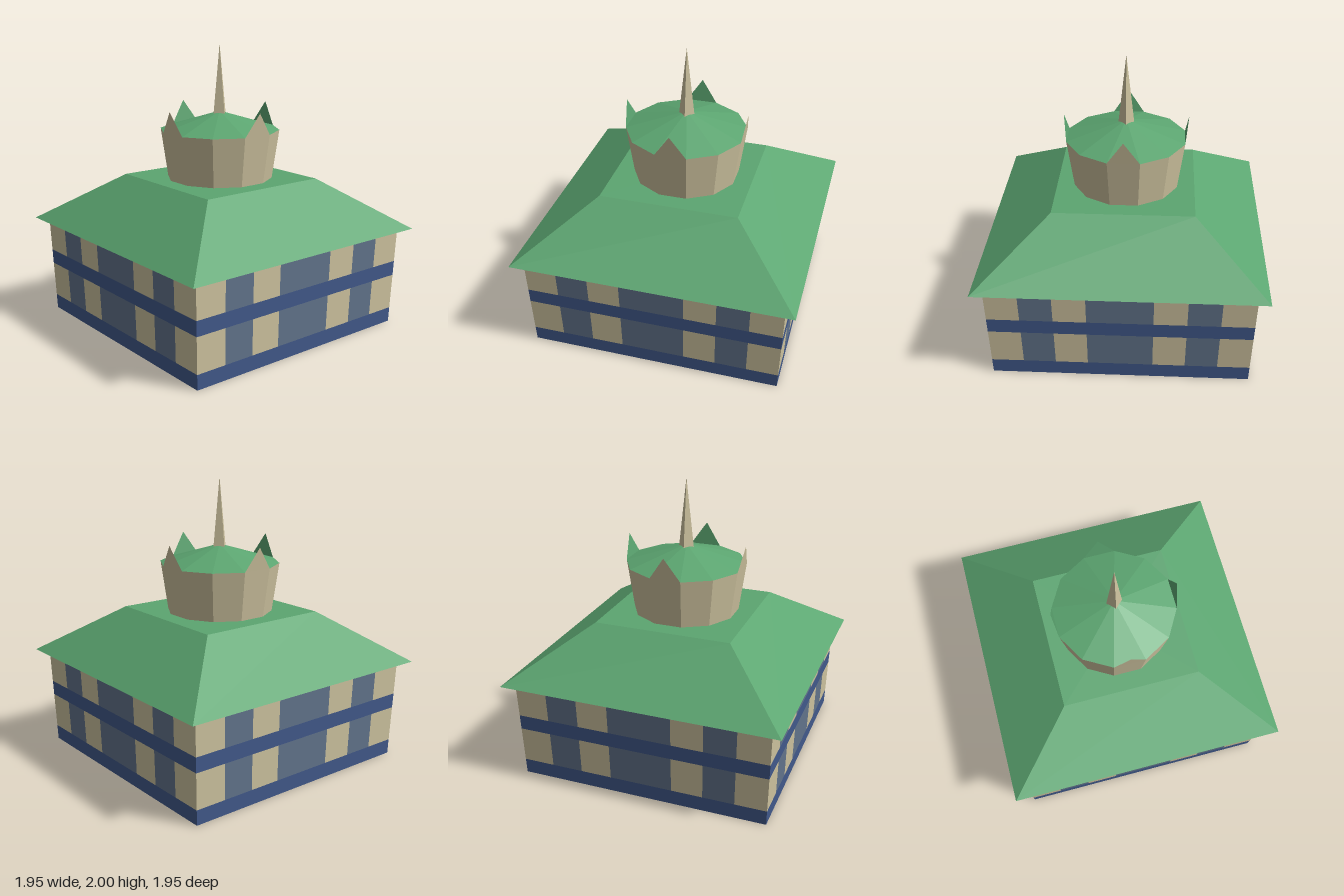
import * as THREE from 'three';

const paint = (color) => new THREE.MeshStandardMaterial({ color, flatShading: true });

export function createModel() {
  const model = new THREE.Group();
  const tan = paint(0xcfc4a0), green = paint(0x5ca671), blue = paint(0x425a8c), glass = paint(0x63758d);

  const add = (parent, name, geometry, material, y = 0) => {
    const mesh = new THREE.Mesh(geometry, material);
    mesh.name = name;
    mesh.position.y = y;
    parent.add(mesh);
    return mesh;
  };

  // Square frustum given by its half widths and heights
  const frustum = (name, bottom, top, y0, y1, material, open = false) => {
    const g = new THREE.CylinderGeometry(top * Math.SQRT2, bottom * Math.SQRT2, y1 - y0, 4, 1, open);
    return add(model, name, g.rotateY(Math.PI / 4), material, (y0 + y1) / 2);
  };

  // Flat convex polygon, corners counter-clockwise from outside
  const polygon = (points) => {
    const positions = [];
    for (let i = 1; i < points.length - 1; i++) positions.push(...points[0], ...points[i], ...points[i + 1]);
    const g = new THREE.BufferGeometry();
    g.setAttribute('position', new THREE.Float32BufferAttribute(positions, 3));
    g.computeVertexNormals();
    return g;
  };

  // Walls lean outward slightly towards the eaves
  const wall = (y) => 0.877 + 0.034 * y;
  frustum('plinth', wall(0), wall(0.105), 0, 0.105, blue);
  frustum('middleBand', wall(0.355), wall(0.46), 0.355, 0.46, blue, true);

  // Alternating wall and window strips on both storeys of each side
  const edges = [-1, -0.75, -0.5, -0.25, 0.25, 0.5, 0.75, 1];
  const storeys = [[0.105, 0.355], [0.46, 0.705]];
  for (let side = 0; side < 4; side++) {
    const face = new THREE.Group();
    face.name = 'wallSide';
    face.rotation.y = side * Math.PI / 2;
    for (const [y0, y1] of storeys) {
      const a = wall(y0), b = wall(y1);
      for (let i = 0; i < edges.length - 1; i++) {
        const l = edges[i], r = edges[i + 1];
        const strip = polygon([[l * a, y0, a], [r * a, y0, a], [r * b, y1, b], [l * b, y1, b]]);
        add(face, i % 2 ? 'window' : 'wallPanel', strip, i % 2 ? glass : tan);
      }
    }
    model.add(face);
  }

  // Hipped roof with a flat top
  frustum('roof', 0.975, 0.485, 0.705, 1.055, green);

  // Twelve-sided flaring tower and its shallow roof
  const turn = Math.PI / 12, rTop = 0.424;
  add(model, 'tower', new THREE.CylinderGeometry(rTop, 0.374, 0.345, 12, 1, true).rotateY(turn), tan, 1.2275);
  add(model, 'towerRoof', new THREE.ConeGeometry(rTop, 0.13, 12, 1, true).rotateY(turn), green, 1.465);

  // Pointed gables: tower colour outside, roof colour inside
  const gx = rTop * Math.sin(turn), gz = rTop * Math.cos(turn);
  const left = [-gx, 1.4, gz], right = [gx, 1.4, gz], peak = [0, 1.56, gz + 0.023];
  for (let side = 0; side < 4; side++) {
    const gable = new THREE.Group();
    gable.name = 'gable';
    gable.rotation.y = side * Math.PI / 2;
    add(gable, 'gableOuter', polygon([left, right, peak]), tan);
    add(gable, 'gableInner', polygon([right, left, peak]), green);
    model.add(gable);
  }

  // Four-sided spire, corners facing front and sides
  add(model, 'spire', new THREE.ConeGeometry(0.056, 0.5, 4), tan, 1.75);

  return model;
}
